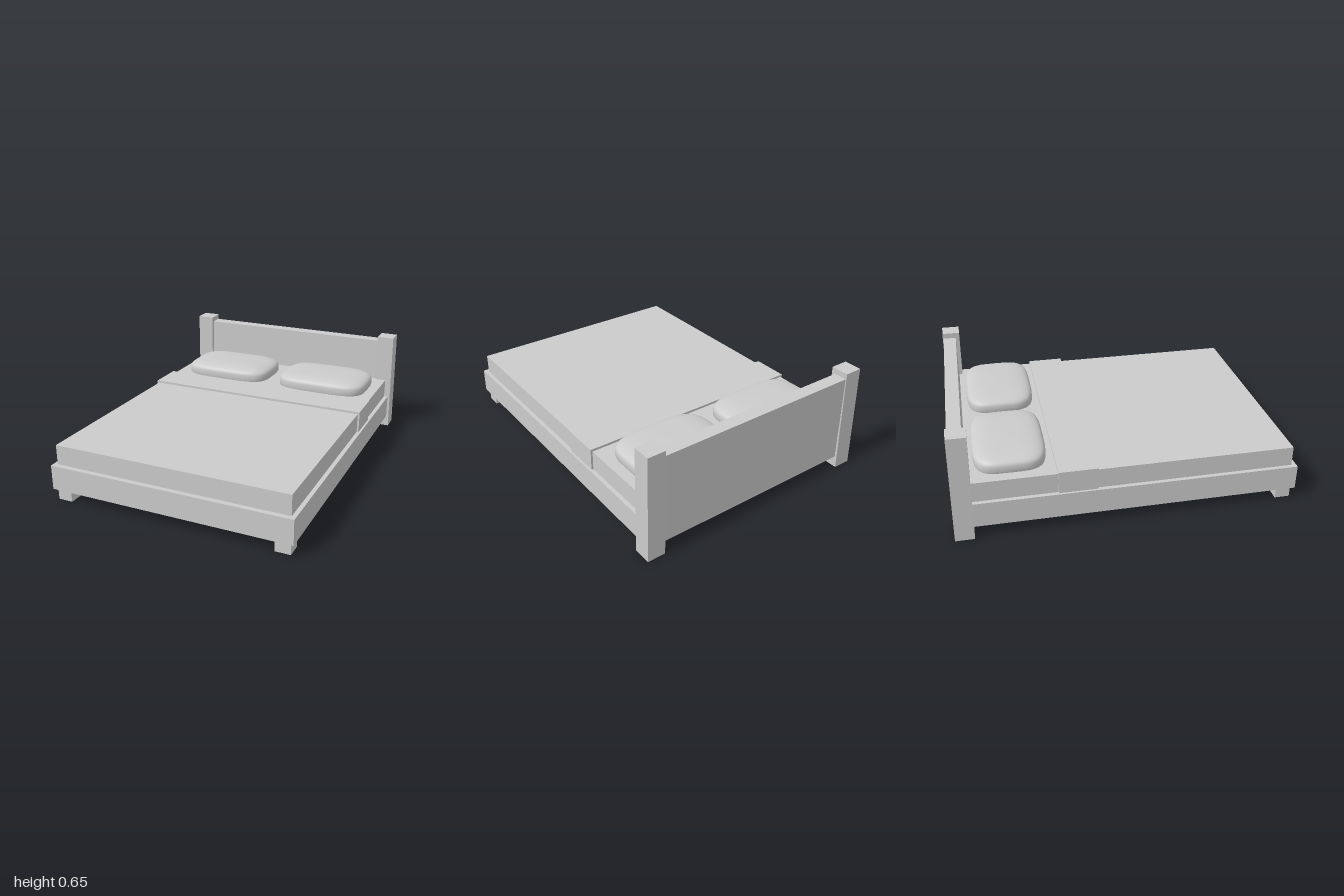
import * as THREE from 'three';

const material = new THREE.MeshStandardMaterial({ color: 0xcccccc });

// Box given by its [min, max] extents on each axis
function box(name, [x0, x1], [y0, y1], [z0, z1]) {
  const geometry = new THREE.BoxGeometry(x1 - x0, y1 - y0, z1 - z0);
  geometry.translate((x0 + x1) / 2, (y0 + y1) / 2, (z0 + z1) / 2);
  const mesh = new THREE.Mesh(geometry, material);
  mesh.name = name;
  return mesh;
}

// Signed power used for superellipse curves
const spow = (v, e) => Math.sign(v) * Math.pow(Math.abs(v), e);

// Soft pillow: superellipsoid with a squarish plan and a flattened top
function pillowGeometry(rx, ry, rz) {
  const planPower = 2 / 4, sidePower = 2 / 3.4;
  const geometry = new THREE.SphereGeometry(1, 48, 28);
  const p = geometry.attributes.position;
  const n = geometry.attributes.normal;
  const normal = new THREE.Vector3();
  for (let i = 0; i < p.count; i++) {
    const sinLat = THREE.MathUtils.clamp(p.getY(i), -1, 1);
    const cosLat = Math.sqrt(1 - sinLat * sinLat);
    const a = Math.atan2(p.getZ(i), p.getX(i));
    const c = Math.cos(a), s = Math.sin(a);
    const ring = Math.pow(cosLat, sidePower);
    p.setXYZ(i, rx * ring * spow(c, planPower), ry * spow(sinLat, sidePower), rz * ring * spow(s, planPower));
    const out = Math.pow(cosLat, 2 - sidePower);
    normal.set(
      out * spow(c, 2 - planPower) / rx,
      spow(sinLat, 2 - sidePower) / ry,
      out * spow(s, 2 - planPower) / rz
    ).normalize();
    n.setXYZ(i, normal.x, normal.y, normal.z);
  }
  return geometry;
}

export function createModel() {
  const bed = new THREE.Group();
  bed.name = 'bed';

  // Base, mattress and folded blanket band
  bed.add(
    box('frame', [-0.74, 0.74], [0.07, 0.22], [-0.91, 1]),
    box('mattress', [-0.715, 0.715], [0.22, 0.34], [-0.91, 0.97]),
    box('blanketFold', [-0.727, 0.727], [0.22, 0.354], [-0.41, -0.185]),
    box('headboard', [-0.68, 0.68], [0.07, 0.615], [-0.985, -0.905])
  );

  const pillow = pillowGeometry(0.304, 0.067, 0.21);
  for (const side of [1, -1]) {
    const label = side > 0 ? 'left' : 'right';
    const span = (a, b) => (side > 0 ? [a, b] : [-b, -a]);

    // Headboard post, leaning slightly inward and forward
    const post = box(label + 'Post', span(0.647, 0.757), [0, 0.65], [-1, -0.89]);
    const p = post.geometry.attributes.position;
    for (let i = 0; i < p.count; i++) {
      const t = p.getY(i) / 0.65;
      p.setX(i, p.getX(i) - side * 0.007 * t);
      p.setZ(i, p.getZ(i) + 0.01 * t);
    }
    post.geometry.computeVertexNormals();

    // Short foot at the front corner
    const foot = box(label + 'FrontLeg', span(0.63, 0.72), [0, 0.08], [0.89, 0.98]);

    // Pillow resting partly sunk into the mattress
    const cushion = new THREE.Mesh(pillow, material);
    cushion.name = label + 'Pillow';
    cushion.position.set(side * 0.348, 0.363, -0.657);

    bed.add(post, foot, cushion);
  }
  return bed;
}
